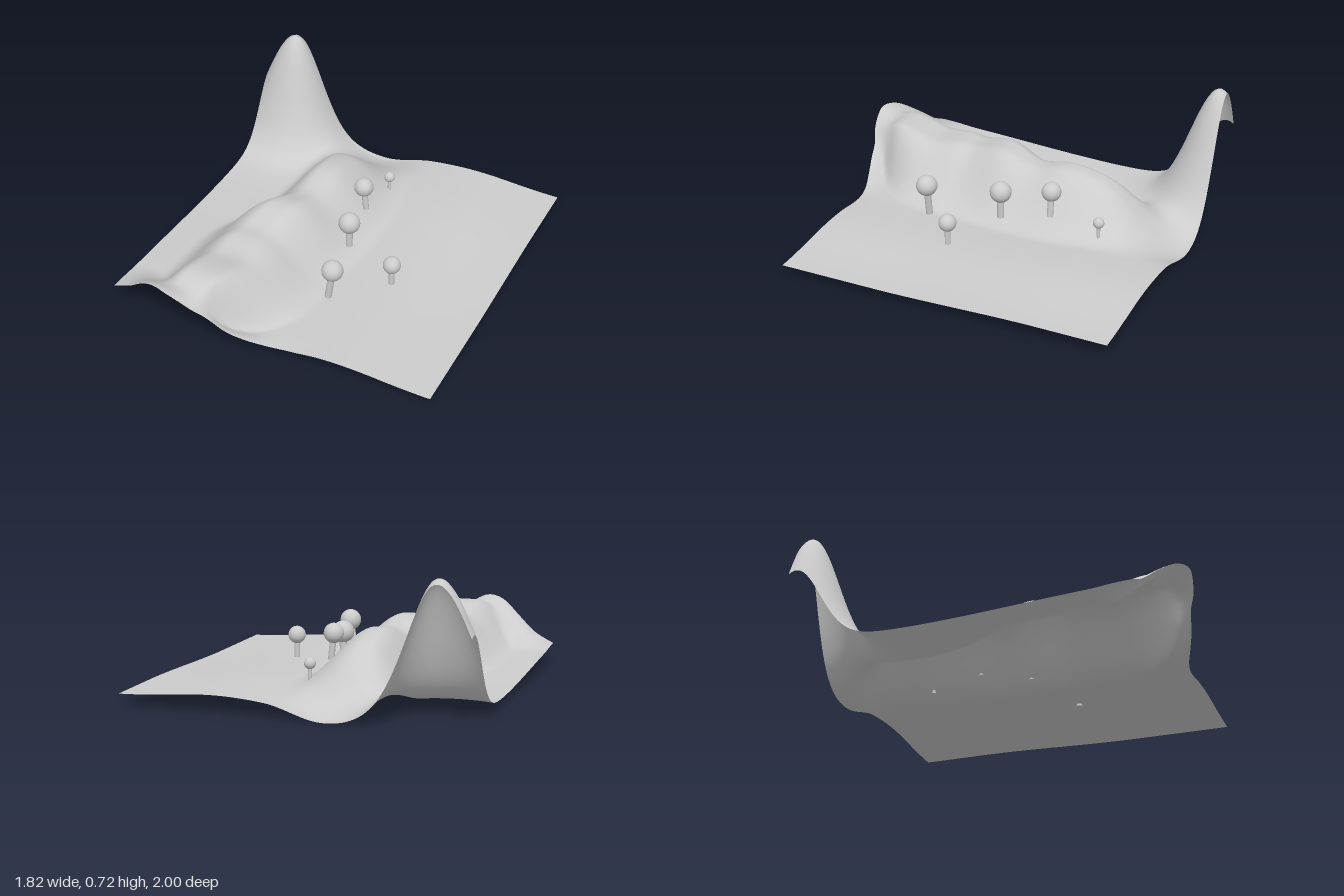
import * as THREE from 'three';

const sm = THREE.MathUtils.smoothstep;
const lerp = THREE.MathUtils.lerp;
const bell = (d, s) => Math.exp(-(d * d) / (2 * s * s));

// smooth interpolation through [position, value] pairs
function table(pts) {
  const slope = (i) => {
    const a = pts[Math.max(i - 1, 0)], b = pts[Math.min(i + 1, pts.length - 1)];
    return (b[1] - a[1]) / (b[0] - a[0]);
  };
  return (t) => {
    const n = pts.length;
    if (t <= pts[0][0]) return pts[0][1];
    if (t >= pts[n - 1][0]) return pts[n - 1][1];
    let i = 0;
    while (t > pts[i + 1][0]) i++;
    const h = pts[i + 1][0] - pts[i][0], u = (t - pts[i][0]) / h;
    const u2 = u * u, u3 = u2 * u;
    return (2 * u3 - 3 * u2 + 1) * pts[i][1] + (u3 - 2 * u2 + u) * h * slope(i)
      + (3 * u2 - 2 * u3) * pts[i + 1][1] + (u3 - u2) * h * slope(i + 1);
  };
}

// ridge: crest height, crest line and the width of each flank along z
const crestY = table([[-0.98, 0.03], [-0.85, 0.07], [-0.75, 0.13], [-0.67, 0.2], [-0.55, 0.29],
  [-0.4, 0.34], [-0.28, 0.35], [-0.1, 0.32], [0.1, 0.362], [0.3, 0.318], [0.4, 0.322],
  [0.55, 0.305], [0.7, 0.335], [0.8, 0.34], [0.9, 0.3]]);
const crestX = table([[-0.9, -0.26], [-0.4, -0.25], [0, -0.27], [0.3, -0.34], [0.6, -0.39], [0.87, -0.43]]);
const eastWidth = table([[-0.8, 0.38], [-0.3, 0.42], [0.1, 0.42], [0.4, 0.47], [0.6, 0.46], [0.75, 0.36], [0.88, 0.2]]);
const westWidth = table([[-0.8, 0.28], [-0.3, 0.31], [0.1, 0.42], [0.4, 0.38], [0.8, 0.32]]);

// raised front edge: height and forward bulge along x
const lipY = table([[-0.91, 0.105], [-0.8, 0.16], [-0.7, 0.24], [-0.6, 0.315], [-0.52, 0.34],
  [-0.45, 0.328], [-0.35, 0.265], [-0.25, 0.18], [-0.15, 0.11], [0, 0.058], [0.15, 0.05]]);
const lipZ = table([[-0.91, 0], [-0.8, 0.02], [-0.7, 0.06], [-0.6, 0.12], [-0.5, 0.165], [-0.45, 0.17],
  [-0.35, 0.15], [-0.28, 0.115], [-0.2, 0.095], [-0.1, 0.06], [0, 0.025], [0.1, 0.005], [0.2, 0]]);

function groundHeight(x, z) {
  // gently rolling plain
  const plain = 0.05 + 0.02 * sm(-z, -0.3, 0.6) * sm(x, -0.4, 0.2) + 0.022 * bell(x - 0.4, 0.2)
    - 0.006 * sm(x, 0.5, 0.91) + 0.006 * bell(x - 0.35, 0.3) * bell(z + 0.6, 0.2);
  // west side climbs gradually towards the front
  const base = lerp(0.043 + 0.055 * sm(z, -0.4, 0.95), plain, sm(x, -0.5, 0));
  // ridge
  const dx = x - crestX(z);
  const shoulder = 0.04 + 0.06 * sm(z, 0.3, 0.6);
  const west = 0.05 * sm(z, -0.15, 0.15);
  const flank = dx > 0 ? 1 - sm(dx, shoulder, eastWidth(z)) : 1 - sm(-dx, west, westWidth(z));
  let y = lerp(base, Math.max(crestY(z), 0.03), flank);
  // tall peak at the back corner, with a wider skirt
  const px = x + 0.74, pz = z + 0.95;
  y += 0.64 * bell(px, lerp(0.172, 0.145, sm(px, -0.1, 0.1))) * bell(pz, 0.145)
    + 0.04 * bell(px, 0.2) * bell(pz, 0.21);
  // hollow at the back edge
  return y - 0.035 * bell(x + 0.18, 0.16) * bell(z + 0.96, 0.1);
}

function makeTerrain(material) {
  const geo = new THREE.PlaneGeometry(1.82, 1.82, 110, 110);
  geo.rotateX(-Math.PI / 2);
  geo.translate(0, 0, -0.08);
  const p = geo.attributes.position;
  for (let i = 0; i < p.count; i++) {
    const x = p.getX(i), v = p.getZ(i);
    const z = v + lipZ(x) * sm(v, 0.55, 0.83) - 0.012 * bell(x + 0.23, 0.15) * sm(-v, 0.9, 0.99);
    const ground = groundHeight(x, z);
    // blend into the raised front edge, softer on the west side
    const front = sm(v, lerp(0.6, 0.72, sm(x, -0.8, -0.5)), 0.83) * (1 - sm(x, 0.05, 0.3));
    p.setXYZ(i, x, Math.max(lerp(ground, lipY(x), front), 0), z);
  }
  geo.computeVertexNormals();
  const mesh = new THREE.Mesh(geo, material);
  mesh.name = 'terrain';
  return mesh;
}

// trunk leaning from its foot to a round crown
function makeTree([x, y, z, r, footY, lean], material) {
  const tree = new THREE.Group();
  tree.name = 'tree';
  const foot = new THREE.Vector3(x - lean, footY, z);
  const top = new THREE.Vector3(x, y, z);
  const dir = top.clone().sub(foot);
  const trunk = new THREE.Mesh(new THREE.CylinderGeometry(r * 0.32, r * 0.32, dir.length(), 20), material);
  trunk.name = 'trunk';
  trunk.position.copy(foot).add(top).multiplyScalar(0.5);
  trunk.quaternion.setFromUnitVectors(new THREE.Vector3(0, 1, 0), dir.normalize());
  const crown = new THREE.Mesh(new THREE.SphereGeometry(r, 32, 20), material);
  crown.name = 'crown';
  crown.position.copy(top);
  tree.add(trunk, crown);
  return tree;
}

export function createModel() {
  const model = new THREE.Group();
  model.name = 'landscape';
  const ground = new THREE.MeshStandardMaterial({ color: 0xcccccc, side: THREE.DoubleSide });
  const wood = new THREE.MeshStandardMaterial({ color: 0xcccccc });
  model.add(makeTerrain(ground));
  // crown x, y, z, crown radius, foot height, lean
  const trees = [
    [0.152, 0.257, 0.378, 0.058, 0.075, 0.025],
    [0.382, 0.2, 0.135, 0.048, 0.062, 0],
    [0.058, 0.263, -0.02, 0.059, 0.11, 0],
    [0.013, 0.306, -0.297, 0.053, 0.165, -0.015],
    [0.04, 0.198, -0.582, 0.03, 0.105, 0],
  ];
  for (const t of trees) model.add(makeTree(t, wood));
  return model;
}
